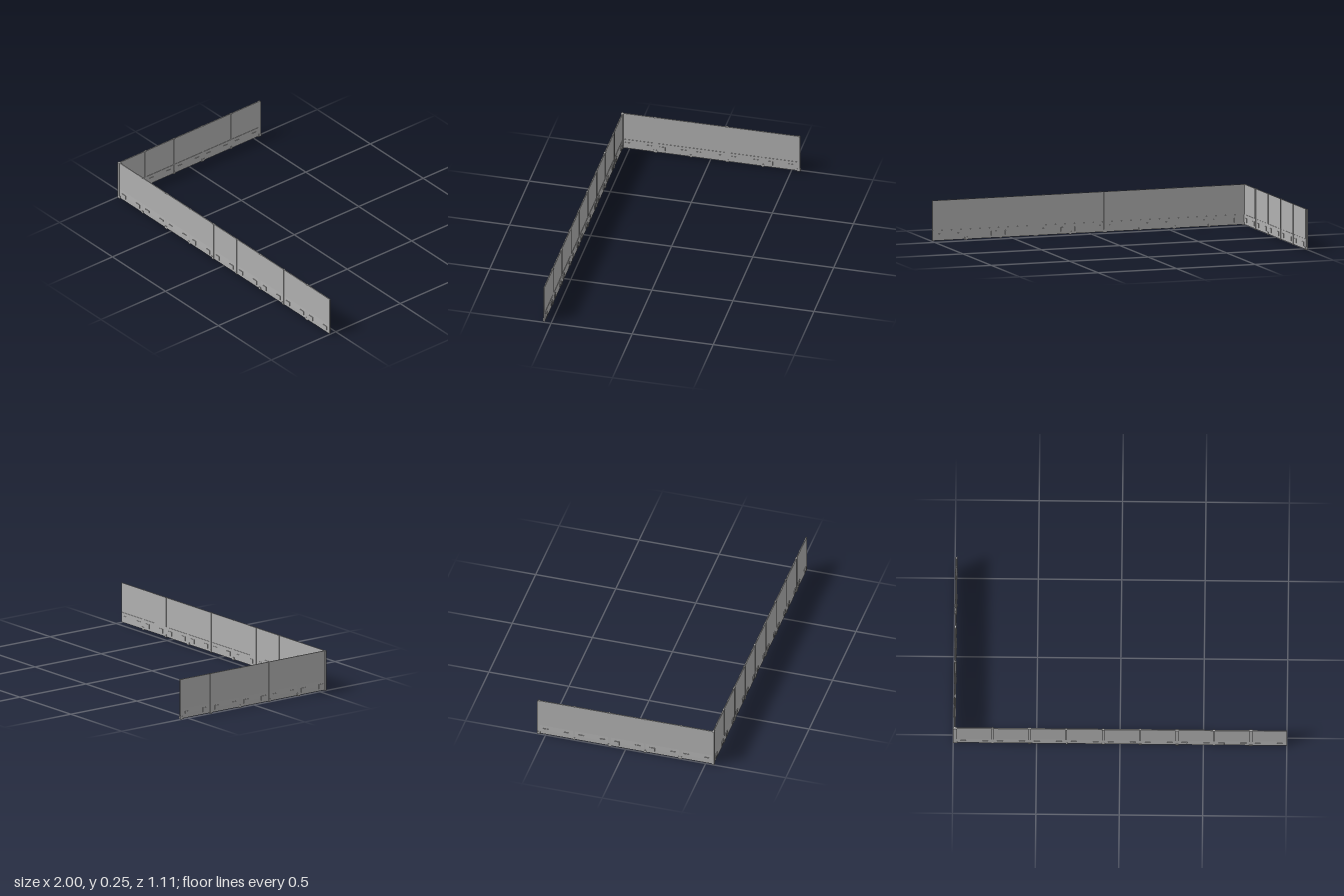
import * as THREE from 'three';

const HEIGHT = 0.247, PITCH = 0.2212;

export function createModel() {
  const wallGrey = new THREE.MeshStandardMaterial({ color: 0xb0b0b0 });
  wallGrey.name = 'wallGrey';

  const box = (parent, name, w, h, d, x, y, z) => {
    const m = new THREE.Mesh(new THREE.BoxGeometry(w, h, d), wallGrey);
    m.name = name;
    m.position.set(x, y, z);
    parent.add(m);
  };

  // Kick board with a flared foot, extruded along the wall
  const kickBoard = (parent, length) => {
    const s = new THREE.Shape();
    s.moveTo(-0.005, 0.004);
    s.lineTo(0.005, 0.004);
    s.lineTo(0.0045, 0.03);
    s.lineTo(0.003, 0.065);
    s.lineTo(-0.005, 0.065);
    s.closePath();
    const g = new THREE.ExtrudeGeometry(s, { depth: length, bevelEnabled: false });
    g.rotateY(-Math.PI / 2); // profile x becomes z, depth runs along -x
    g.translate(length, 0, 0);
    const m = new THREE.Mesh(g, wallGrey);
    m.name = 'kickBoard';
    parent.add(m);
  };

  // H-section post: a web between an inner and an outer flange
  const post = (parent, x, width) => {
    const g = new THREE.Group();
    g.name = 'post';
    g.position.x = x;
    box(g, 'postWeb', width * 0.4, HEIGHT, 0.008, 0, HEIGHT / 2, 0);
    for (const side of [-1, 1]) {
      box(g, 'postFlange', width, HEIGHT, 0.0015, 0, HEIGHT / 2, side * 0.0056);
    }
    box(g, 'postFoot', width + 0.003, 0.018, 0.016, 0, 0.009, 0);
    parent.add(g);
  };

  // A straight wall starting at local x = 0, its outer face toward +z
  const wall = (name, length, postCount) => {
    const g = new THREE.Group();
    g.name = name;
    box(g, 'panel', length, HEIGHT - 0.005, 0.006, length / 2, (HEIGHT + 0.005) / 2, 0);
    kickBoard(g, length);
    for (let i = 0; i < postCount; i++) {
      post(g, i * PITCH, i % 2 ? 0.01 : 0.017);
    }
    // Two clamps in every bay
    for (let start = 0; start < length - 0.05; start += PITCH) {
      const centre = (start + Math.min(start + PITCH, length)) / 2;
      for (const side of [-1, 1]) {
        box(g, 'clamp', 0.034, 0.026, 0.015, centre + side * 0.066, 0.032, 0);
      }
    }
    return g;
  };

  const model = new THREE.Group();
  model.name = 'cornerBarrier';

  const longWall = wall('longWall', 1.985, 9);
  longWall.position.set(-0.985, 0, 0.544);
  model.add(longWall);

  const shortWall = wall('shortWall', 1.09, 5);
  shortWall.rotation.y = -Math.PI / 2; // outer face toward -x
  shortWall.position.set(-0.992, 0, -0.544);
  model.add(shortWall);

  // Post closing the corner
  box(model, 'cornerPost', 0.018, HEIGHT, 0.014, -0.991, HEIGHT / 2, 0.545);
  return model;
}
